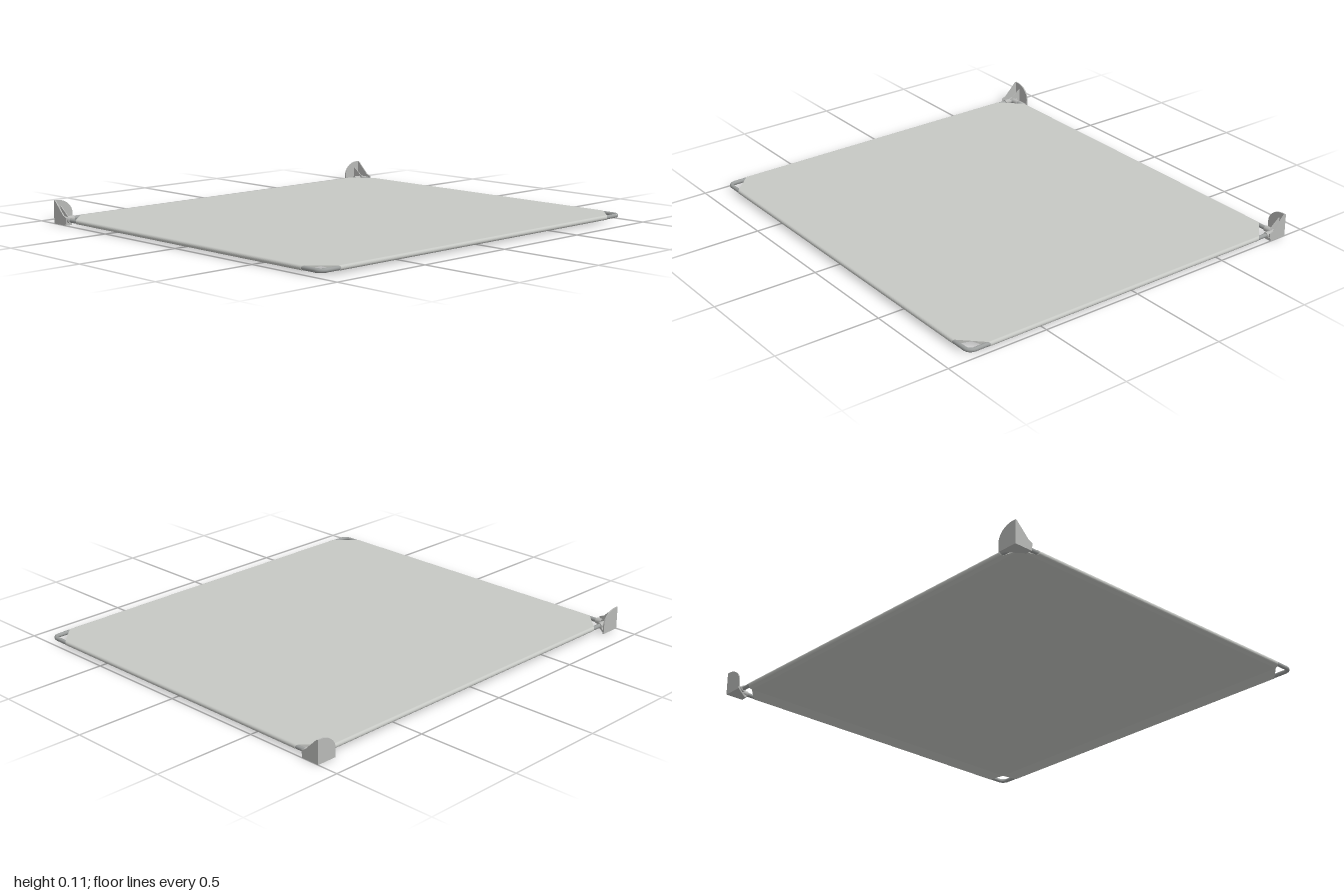
import * as THREE from 'three';

const fabric = new THREE.MeshStandardMaterial({ color: 0xc6c8c4 });
fabric.name = 'fabric';
const metal = new THREE.MeshStandardMaterial({ color: 0x9c9f9e });
metal.name = 'tube metal';
const plastic = new THREE.MeshStandardMaterial({ color: 0xb8b9b7 });
plastic.name = 'bracket plastic';

const X = 0.985, BACK = -0.86, FRONT = 0.89; // outer edges of the covered frame
const HEM = 0.0575, R = 0.011, Y = 0.022;    // hem width, sleeve radius, tube height

function add(parent, geometry, material, name, x = 0, y = 0, z = 0) {
  const mesh = new THREE.Mesh(geometry, material);
  mesh.name = name;
  mesh.position.set(x, y, z);
  parent.add(mesh);
  return mesh;
}

function plate(points, depth) {
  const shape = new THREE.Shape(points.map(([x, y]) => new THREE.Vector2(x, y)));
  return new THREE.ExtrudeGeometry(shape, { depth, bevelEnabled: false });
}

// Teardrop hem folded round a tube, with ends cut at 45 degrees
function sleeve(half) {
  const shape = new THREE.Shape();
  shape.moveTo(HEM, Y + R);
  shape.lineTo(R, Y + R);
  shape.absarc(R, Y, R, Math.PI / 2, Math.PI * 1.5, false);
  shape.lineTo(HEM, Y + R - 0.002);
  const geo = new THREE.ExtrudeGeometry(shape, { depth: 1, bevelEnabled: false, curveSegments: 10 });
  const p = geo.attributes.position;
  for (let i = 0; i < p.count; i++) p.setZ(i, (p.getZ(i) * 2 - 1) * (half + p.getX(i)));
  geo.computeVertexNormals();
  return geo;
}

function tubeBetween(parent, a, b, radius, material, name) {
  const dir = new THREE.Vector3().subVectors(b, a);
  const mesh = add(parent, new THREE.CylinderGeometry(radius, radius, dir.length(), 12), material, name);
  mesh.position.copy(a).add(b).multiplyScalar(0.5);
  mesh.quaternion.setFromUnitVectors(new THREE.Vector3(0, 1, 0), dir.normalize());
}

function buildFrame() {
  const frame = new THREE.Group();
  frame.name = 'tubeFrame';
  const x = X - R, z0 = BACK + R, z1 = FRONT - R, r = 0.03, t = 0.0098;
  const v = (a, b) => new THREE.Vector3(a, Y, b);
  for (const z of [z0, z1]) tubeBetween(frame, v(-x + r, z), v(x - r, z), t, metal, z < 0 ? 'backTube' : 'frontTube');
  for (const s of [-1, 1]) {
    tubeBetween(frame, v(s * x, z0 + r), v(s * x, z1 - r), t, metal, 'sideTube');
    // Rounded bends
    for (const e of [-1, 1]) {
      const bend = new THREE.TorusGeometry(r, t, 10, 8, Math.PI / 2);
      bend.rotateX(Math.PI / 2);
      const turn = e > 0 ? (s > 0 ? 0 : -Math.PI / 2) : (s > 0 ? Math.PI / 2 : Math.PI);
      bend.rotateY(turn);
      add(frame, bend, metal, 'tubeBend', s * (x - r), Y, e > 0 ? z1 - r : z0 + r);
    }
  }
  return frame;
}

function buildCover() {
  const cover = new THREE.Group();
  cover.name = 'fabricCover';
  const w = 2 * (X - HEM), d = FRONT - BACK - 2 * HEM, mid = (FRONT + BACK) / 2;
  add(cover, new THREE.BoxGeometry(w, 0.002, d), fabric, 'sheet', 0, Y + R - 0.001, mid);
  const sides = [
    ['leftHem', X, mid, Math.PI, d / 2 - HEM],
    ['rightHem', -X, mid, 0, d / 2 - HEM],
    ['backHem', 0, BACK, -Math.PI / 2, w / 2 - HEM],
    ['frontHem', 0, FRONT, Math.PI / 2, w / 2 - HEM],
  ];
  for (const [name, x, z, turn, half] of sides) {
    add(cover, sleeve(half), fabric, name, x, 0, z).rotation.y = turn;
  }
  return cover;
}

// Corner bracket: floor, two upright walls, a rib and tube sockets
function buildBracket(s) {
  const g = new THREE.Group();
  g.name = s > 0 ? 'leftBracket' : 'rightBracket';
  const zb = -0.895, t = 0.006;
  const floor = plate([[s, zb], [s * 0.9, zb], [s * 0.965, -0.815], [s * 0.965, -0.805], [s, -0.805]], 0.012);
  floor.rotateX(Math.PI / 2);
  add(g, floor, plastic, 'bracketFloor', 0, 0.012, 0);

  const curve = [];
  for (let i = 0; i <= 8; i++) {
    const a = (i / 8) * Math.PI / 2;
    curve.push([s * (0.985 - 0.085 * Math.sin(a)), 0.04 + 0.07 * Math.cos(a)]);
  }
  add(g, plate([[s, 0], [s, 0.11], ...curve, [s * 0.9, 0]], t), plastic, 'backWall', 0, 0, zb);

  const profile = [[zb, 0], [zb, 0.11], [zb + 0.01, 0.108], [-0.822, 0.045], [-0.8, 0.037], [-0.805, 0]];
  const side = plate(profile, t);
  side.rotateY(-Math.PI / 2);
  add(g, side, plastic, 'sideWall', s > 0 ? 1 : -1 + t, 0, 0);

  const rib = plate([[zb, 0], [zb, 0.085], [-0.83, 0.035], [-0.83, 0]], 0.004);
  rib.rotateY(-Math.PI / 2);
  add(g, rib, plastic, 'rib', s > 0 ? 0.967 : -0.963, 0, 0);

  const v = (x, z) => new THREE.Vector3(s * x, Y, z);
  tubeBetween(g, v(X - R, -0.87), v(X - R, -0.798), 0.014, plastic, 'sideSocket');
  tubeBetween(g, v(0.985, BACK + R), v(0.925, BACK + R), 0.014, plastic, 'backSocket');
  return g;
}

export function createModel() {
  const model = new THREE.Group();
  model.name = 'coveredFrame';
  model.add(buildFrame(), buildCover(), buildBracket(1), buildBracket(-1));
  return model;
}
